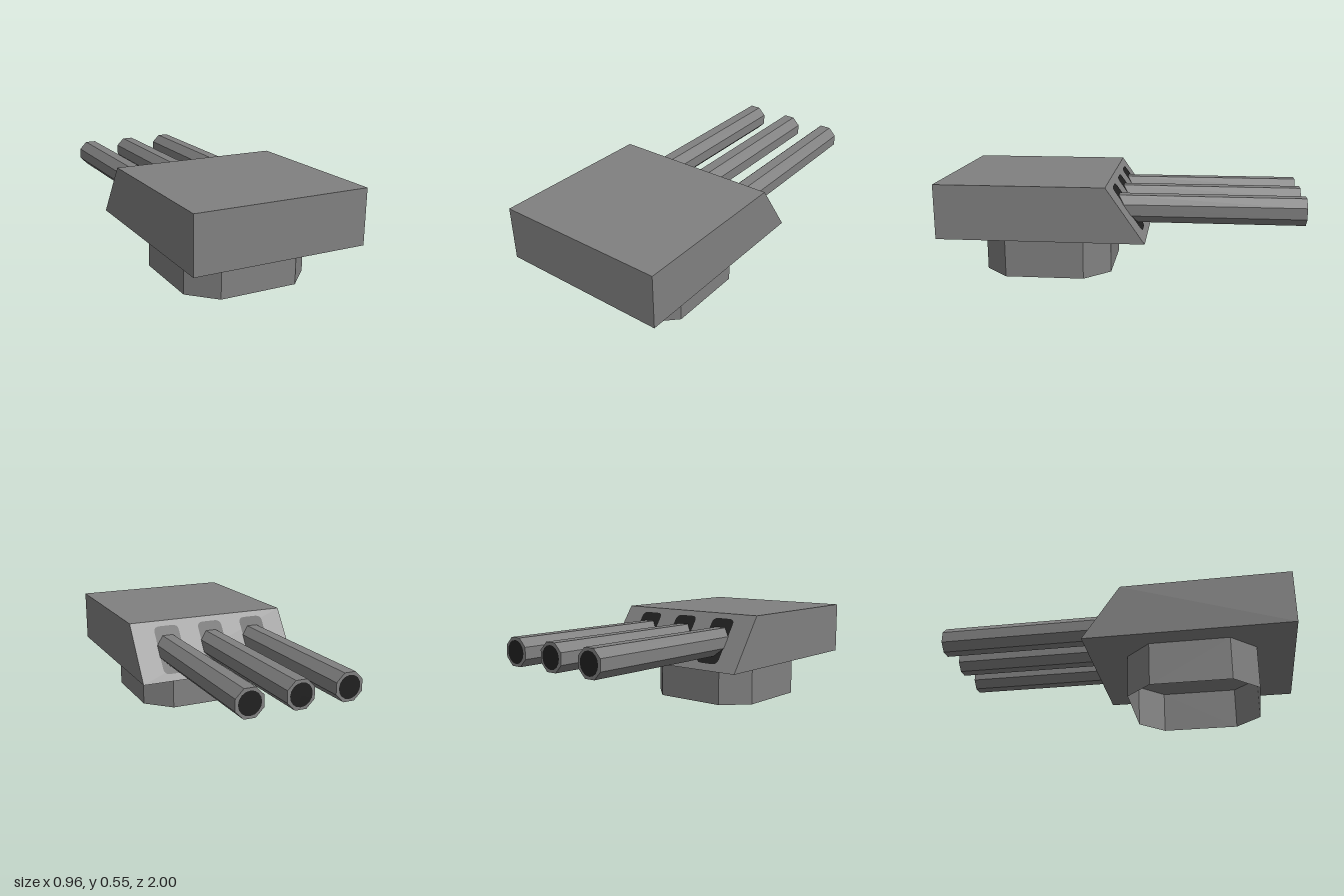
import * as THREE from 'three';

const HALF_W = 0.48, BARREL_Y = 0.395, BARREL_R = 0.075;
// Sloped rear face, as (z, y) points
const slopeTop = new THREE.Vector2(0.07, 0.545), slopeBottom = new THREE.Vector2(-0.14, 0.243);

export function createModel() {
  const model = new THREE.Group();
  const grey = new THREE.MeshStandardMaterial({ color: 0x808080, flatShading: true, side: THREE.DoubleSide });
  grey.name = 'grey steel';
  const black = new THREE.MeshStandardMaterial({ color: 0x202020, side: THREE.DoubleSide });
  black.name = 'black';

  const add = (name, geometry, material) => {
    const mesh = new THREE.Mesh(geometry, material);
    mesh.name = name;
    model.add(mesh);
    return mesh;
  };

  // Gun house: side profile extruded across the width
  const profile = new THREE.Shape([
    new THREE.Vector2(1, 0.243), new THREE.Vector2(1, 0.545), slopeTop, slopeBottom,
  ]);
  const house = new THREE.ExtrudeGeometry(profile, { depth: HALF_W * 2, bevelEnabled: false });
  house.translate(0, 0, -HALF_W).rotateY(-Math.PI / 2);
  add('gunHouse', house, grey);

  // Turret ring: thin, open-ended wall with eight sides
  const a = 0.36, b = 0.22;
  const corners = [[a, b], [b, a], [-b, a], [-a, b], [-a, -b], [-b, -a], [b, -a], [a, -b]];
  const positions = [], indices = [];
  corners.forEach(([x, z], i) => {
    positions.push(x, 0, z + 0.43, x, 0.243, z + 0.43);
    const p = i * 2, q = ((i + 1) % 8) * 2;
    indices.push(p, p + 1, q, q, p + 1, q + 1);
  });
  const ring = new THREE.BufferGeometry();
  ring.setAttribute('position', new THREE.Float32BufferAttribute(positions, 3));
  ring.setIndex(indices);
  ring.computeVertexNormals();
  add('turretRing', ring, grey);

  // Gun port outline: a tall slot with rounded corners
  const w = 0.075, h = 0.145, r = 0.035;
  const port = new THREE.Shape();
  port.moveTo(-w + r, -h);
  port.lineTo(w - r, -h).quadraticCurveTo(w, -h, w, -h + r);
  port.lineTo(w, h - r).quadraticCurveTo(w, h, w - r, h);
  port.lineTo(-w + r, h).quadraticCurveTo(-w, h, -w, h - r);
  port.lineTo(-w, -h + r).quadraticCurveTo(-w, -h, -w + r, -h);
  const portGeometry = new THREE.ShapeGeometry(port, 4);

  // Frame lying on the sloped face
  const up = new THREE.Vector3(0, slopeTop.y - slopeBottom.y, slopeTop.x - slopeBottom.x).normalize();
  const right = new THREE.Vector3(-1, 0, 0);
  const out = new THREE.Vector3().crossVectors(right, up);
  const frame = new THREE.Matrix4().makeBasis(right, up, out);
  const mid = slopeTop.clone().lerp(slopeBottom, 0.49);

  // Eight-sided barrel with flats on top and sides
  const barrelStart = 0.05, barrelEnd = -0.998;
  const barrelGeometry = new THREE.CylinderGeometry(
    BARREL_R / Math.cos(Math.PI / 8), BARREL_R / Math.cos(Math.PI / 8), barrelStart - barrelEnd, 8);
  barrelGeometry.rotateY(Math.PI / 8).rotateX(Math.PI / 2);
  const boreGeometry = new THREE.CircleGeometry(0.062, 16).rotateY(Math.PI);

  [['right', -0.272], ['centre', 0], ['left', 0.272]].forEach(([side, x]) => {
    add(side + 'Barrel', barrelGeometry, grey).position.set(x, BARREL_Y, (barrelStart + barrelEnd) / 2);
    add(side + 'Bore', boreGeometry, black).position.set(x, BARREL_Y, -1);
    const slot = add(side + 'GunPort', portGeometry, black);
    slot.quaternion.setFromRotationMatrix(frame);
    slot.position.set(x, mid.y, mid.x).addScaledVector(out, 0.003);
  });

  return model;
}
